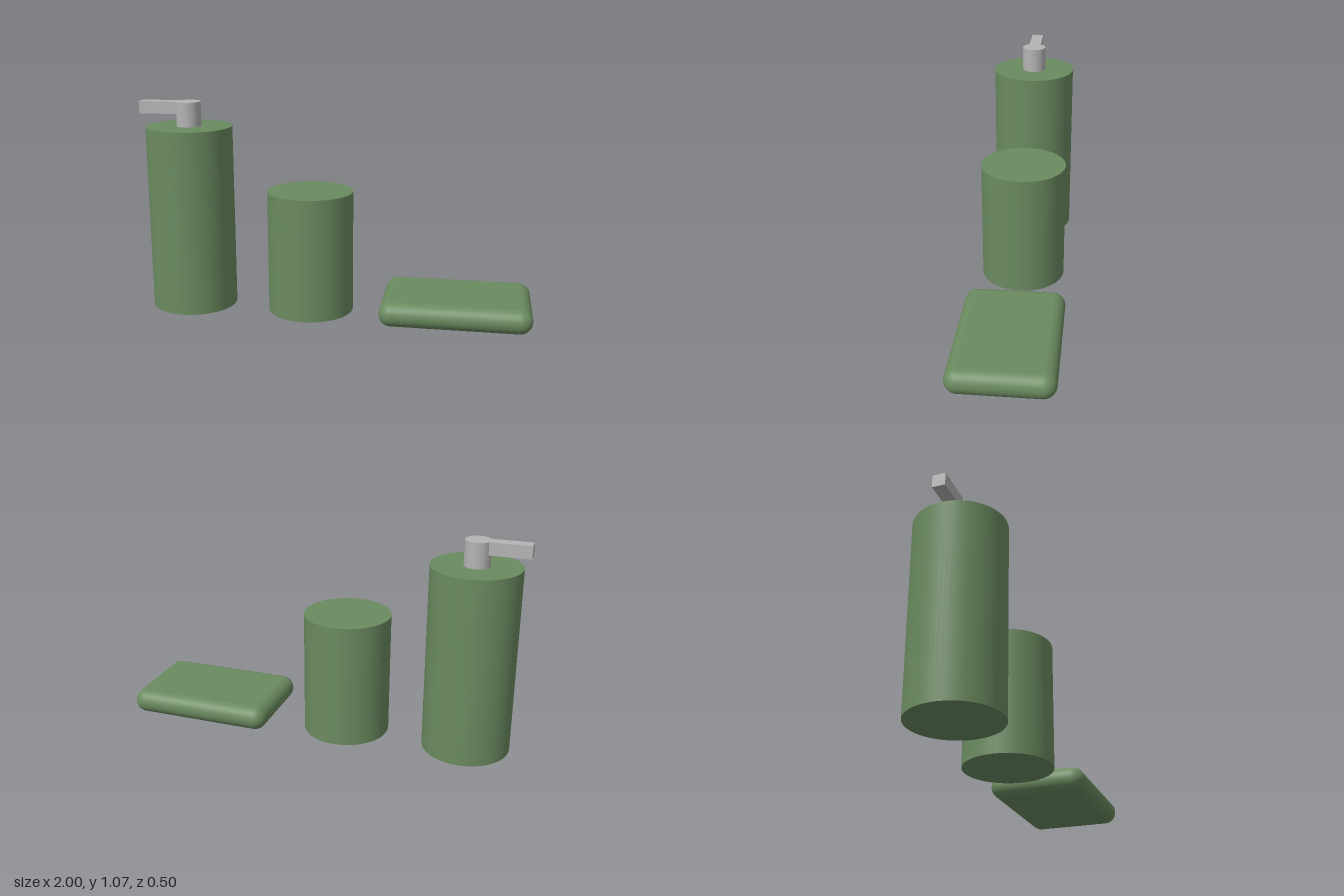
import * as THREE from 'three';
import { RoundedBoxGeometry } from 'three/addons/geometries/RoundedBoxGeometry.js';

export function createModel() {
  const group = new THREE.Group();
  group.name = 'bathroomSet';

  const ceramic = new THREE.MeshStandardMaterial({ color: 0x6b8b60 });
  ceramic.name = 'green ceramic';
  const metal = new THREE.MeshStandardMaterial({ color: 0xb4b4b4 });
  metal.name = 'grey metal';

  const add = (name, geometry, material, x, y) => {
    const mesh = new THREE.Mesh(geometry, material);
    mesh.name = name;
    mesh.position.set(x, y, 0);
    group.add(mesh);
  };
  // Upright cylinder standing on height y
  const addCylinder = (name, radius, height, material, x, y) =>
    add(name, new THREE.CylinderGeometry(radius, radius, height, 64), material, x, y + height / 2);

  // Soap dispenser: bottle, pump head and sideways spout
  addCylinder('dispenserBottle', 0.218, 0.94, ceramic, -0.75, 0);
  addCylinder('pumpHead', 0.0625, 0.125, metal, -0.75, 0.94);
  add('pumpSpout', new THREE.BoxGeometry(0.25, 0.0625, 0.0625), metal, -0.875, 1.0335);

  // Tumbler
  addCylinder('tumbler', 0.218, 0.626, ceramic, -0.125, 0);

  // Soap dish with fully rounded rim
  add('soapDish', new RoundedBoxGeometry(0.75, 0.125, 0.5, 8, 0.0624), ceramic, 0.625, 0.0625);

  return group;
}
